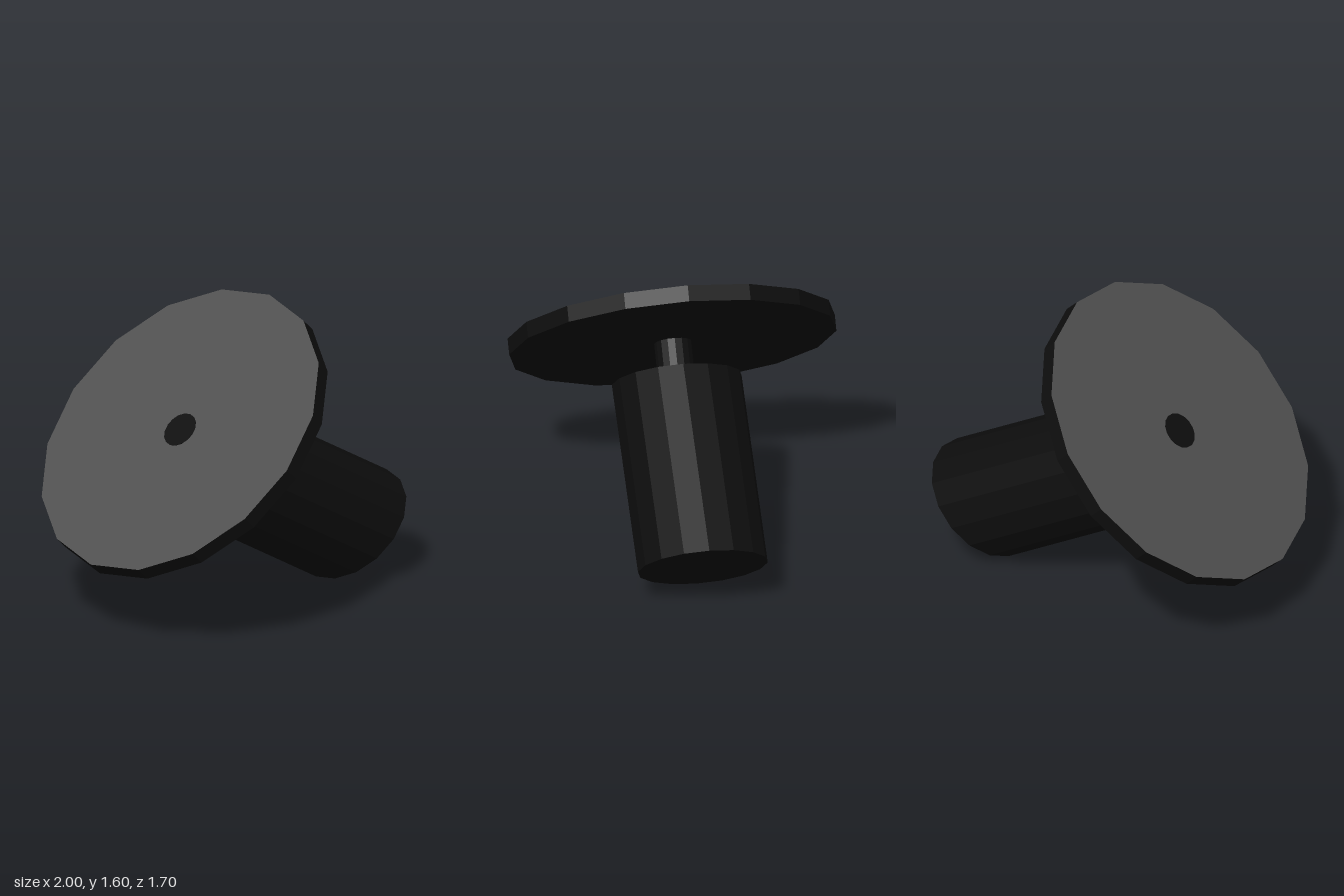
import * as THREE from 'three';

export function createModel() {
  const black = new THREE.MeshStandardMaterial({ color: 0x0d0d0d, flatShading: true });
  black.name = 'black';
  const grey = new THREE.MeshStandardMaterial({ color: 0x505050, flatShading: true });
  grey.name = 'dark grey';

  const SIDES = 16;

  // Upright cylinder hanging down from the given top height
  function drum(radius, top, height) {
    return new THREE.CylinderGeometry(radius, radius, height, SIDES).translate(0, top - height / 2, 0);
  }

  function add(parent, name, geometry, material) {
    const mesh = new THREE.Mesh(geometry, material);
    mesh.name = name;
    parent.add(mesh);
  }

  // Local y is the axis of the disc, with the centre of its face at the origin
  const assembly = new THREE.Group();
  assembly.name = 'tiltedAssembly';
  assembly.position.set(-0.3975, 1.0025, 0);
  assembly.rotation.z = Math.PI / 4;

  // Disc: black rim and underside, grey face
  add(assembly, 'disc', drum(0.852, 0, 0.085), [black, grey, black]);

  // Shaft runs through the disc and shows as a dot on its face
  add(assembly, 'shaft', drum(0.097, 0.003, 0.3), black);

  // Body: a round drum sheared sideways, with ends parallel to the disc
  const top = -0.286, height = 1.07, lean = 0.278;
  const body = drum(0.338, 0, height);
  body.applyMatrix4(new THREE.Matrix4().makeShear(0, 0, -lean / height, 0, 0, 0));
  // keep the shear along x as a function of y
  body.translate(0, top, 0);
  add(assembly, 'body', shearedBody(body, top, height, lean), black);

  const model = new THREE.Group();
  model.name = 'discOnSlantedBody';
  model.add(assembly);
  return model;
}

// Sets the sideways offset of each ring from its height, whatever its starting offset
function shearedBody(geometry, top, height, lean) {
  const p = geometry.attributes.position;
  let mean = { top: 0, bottom: 0, nTop: 0, nBottom: 0 };
  for (let i = 0; i < p.count; i++) {
    if (p.getY(i) > top - height / 2) { mean.top += p.getX(i); mean.nTop++; }
    else { mean.bottom += p.getX(i); mean.nBottom++; }
  }
  const skew = mean.bottom / mean.nBottom - mean.top / mean.nTop;
  for (let i = 0; i < p.count; i++) {
    const t = (top - p.getY(i)) / height;
    p.setX(i, p.getX(i) + (lean - skew) * t);
  }
  geometry.computeVertexNormals();
  return geometry;
}
